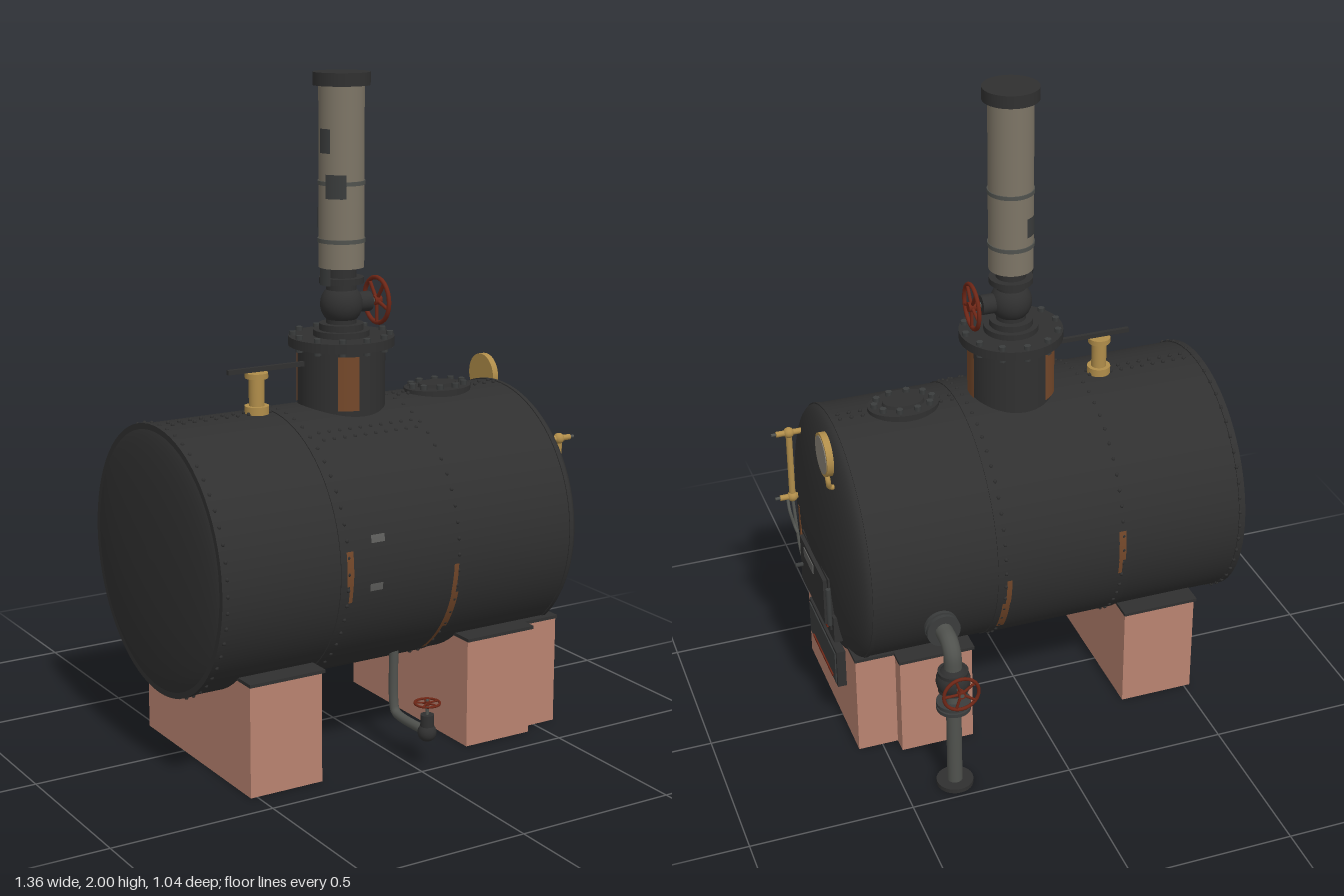
import * as THREE from 'three';
import { mergeGeometries } from 'three/addons/utils/BufferGeometryUtils.js';

const paint = (name, color, side = THREE.FrontSide) => {
  const m = new THREE.MeshStandardMaterial({ color, side });
  m.name = name;
  return m;
};

export function createModel() {
  const iron = paint('black iron', 0x303030);
  const brick = paint('brick', 0xb98370);
  const taupe = paint('stack metal', 0x7d7566);
  const brass = paint('brass', 0xb08d4a);
  const rust = paint('rust', 0x74482a, THREE.DoubleSide);
  const red = paint('valve red', 0x6e2616);
  const steel = paint('pipe steel', 0x50524e);
  const grey = paint('plate grey', 0x5c5c5a, THREE.DoubleSide);
  const dial = paint('dial', 0x8a8478);
  const dark = paint('dark fittings', 0x3a3c3c, THREE.DoubleSide);

  const model = new THREE.Group();
  const R = 0.395, CY = 0.635, CZ = 0.085, SX = -0.023;

  const add = (name, geo, mat, pos = [0, 0, 0], parent = model) => {
    const m = new THREE.Mesh(geo, mat);
    m.name = name;
    m.position.set(...pos);
    parent.add(m);
    return m;
  };
  const group = (name, pos) => {
    const g = new THREE.Group();
    g.name = name;
    g.position.set(...pos);
    model.add(g);
    return g;
  };
  // box given by its low and high corners
  const box = (name, mat, a, b, parent) => add(name, new THREE.BoxGeometry(b[0] - a[0], b[1] - a[1], b[2] - a[2]),
    mat, a.map((v, i) => (v + b[i]) / 2), parent);
  // cylinder centred on pos, along the given axis
  const cyl = (name, mat, r, h, pos, axis = 'y', parent = model, seg = 28) => {
    const g = new THREE.CylinderGeometry(r, r, h, seg);
    if (axis === 'x') g.rotateZ(-Math.PI / 2);
    if (axis === 'z') g.rotateX(Math.PI / 2);
    return add(name, g, mat, pos, parent);
  };
  const tube = (name, mat, r, pts, parent) => {
    const path = new THREE.CatmullRomCurve3(pts.map(p => new THREE.Vector3(...p)), false, 'centripetal');
    return add(name, new THREE.TubeGeometry(path, 32, r, 14), mat, [0, 0, 0], parent);
  };
  // spoked handwheel on a stem along +y
  const handwheel = (r, stem, pos) => {
    const g = group('handwheel', pos);
    add('wheelRim', new THREE.TorusGeometry(r, r * 0.1, 8, 28).rotateX(Math.PI / 2), red, [0, 0, 0], g);
    for (let i = 0; i < 5; i++) {
      const a = i * Math.PI * 0.4;
      const s = cyl('wheelSpoke', red, r * 0.08, r, [Math.cos(a) * r / 2, 0, -Math.sin(a) * r / 2], 'x', g, 8);
      s.rotation.y = a;
    }
    cyl('wheelHub', red, r * 0.22, r * 0.35, [0, 0, 0], 'y', g, 12);
    cyl('wheelStem', steel, r * 0.13, stem, [0, -stem / 2 + 0.01, 0], 'y', g, 10);
    return g;
  };

  // Boiler shell with dished ends, lying along x
  const shell = group('boiler', [0, CY, CZ]);
  const profile = [];
  for (let i = 0; i <= 12; i++) {
    const t = i / 12 * Math.PI / 2;
    profile.push(new THREE.Vector2(R * Math.sin(t), 0.075 * Math.cos(t)));
  }
  const head = (name, x, depth, dir) => {
    const pts = profile.map(p => new THREE.Vector2(p.x, p.y * depth / 0.075)).reverse();
    add(name, new THREE.LatheGeometry(pts, 72).rotateZ(-dir * Math.PI / 2), iron, [x, 0, 0], shell);
  };
  head('frontHead', 0.545, 0.075, 1);
  head('rearHead', -0.63, 0.045, -1);
  cyl('shell', iron, R, 1.175, [-0.0425, 0, 0], 'x', shell, 72);
  cyl('middleCourse', iron, R + 0.003, 0.425, [-0.0525, 0, 0], 'x', shell, 72);
  cyl('rearRim', iron, R + 0.003, 0.02, [-0.632, 0, 0], 'x', shell, 72);
  cyl('frontRim', iron, R + 0.003, 0.012, [0.541, 0, 0], 'x', shell, 72);

  // Rivets round the seams and along the laps
  const rivets = [];
  const rivet = (x, a) => rivets.push(new THREE.SphereGeometry(0.0065, 6, 4)
    .translate(x, Math.sin(a) * (R + 0.002), Math.cos(a) * (R + 0.002)));
  for (const x of [-0.625, -0.24, 0.135]) for (let i = 0; i < 52; i++) rivet(x, i / 52 * Math.PI * 2);
  for (const d of [-0.014, 0.014]) {
    for (let x = -0.59; x < -0.26; x += 0.035) rivet(x, Math.acos(d / R));
    for (let x = 0.17; x < 0.53; x += 0.035) rivet(x, Math.acos(d / R));
    for (let x = -0.205; x < 0.12; x += 0.035) rivet(x, Math.acos((0.187 + d) / R));
  }
  add('rivets', mergeGeometries(rivets), iron, [0, 0, 0], shell);

  // Curved plates on the shell between two heights, front (1) or back (-1)
  const shellPatch = (name, mat, x, w, y0, y1, side = 1) => {
    const a = Math.asin((y0 - CY) / R), b = Math.asin((y1 - CY) / R);
    const start = side > 0 ? a : Math.PI - b;
    add(name, new THREE.CylinderGeometry(R + 0.006, R + 0.006, w, 8, 1, true, start, b - a).rotateZ(Math.PI / 2),
      mat, [x, 0, 0], shell);
  };
  for (const side of [1, -1]) {
    shellPatch('rustStreak', rust, -0.236, 0.022, 0.6, 0.7, side);
    shellPatch('rustStreak', rust, -0.232, 0.012, 0.55, 0.6, side);
    shellPatch('rustStreak', rust, 0.125, 0.016, 0.52, 0.61, side);
    shellPatch('rustStreak', rust, 0.131, 0.024, 0.4, 0.52, side);
  }
  shellPatch('rustStreak', rust, 0.124, 0.012, 0.31, 0.4);
  shellPatch('namePlate', grey, -0.14, 0.045, 0.713, 0.735);
  shellPatch('namePlate', grey, -0.148, 0.042, 0.575, 0.597);

  // Brick piers with iron bearing plates
  box('rearPier', brick, [-0.52, 0, -0.235], [-0.285, 0.333, 0.41]);
  box('frontPier', brick, [0.22, 0, -0.235], [0.45, 0.333, 0.41]);
  box('frontPierStep', brick, [0.45, 0, -0.185], [0.575, 0.333, 0.37]);
  box('bearingPlate', iron, [-0.525, 0.333, -0.245], [-0.28, 0.343, 0.42]);
  box('bearingPlate', iron, [0.215, 0.333, -0.245], [0.455, 0.343, 0.42]);
  box('bearingPlate', iron, [0.455, 0.333, -0.19], [0.578, 0.343, 0.375]);

  // Fire door and ash door
  box('fireDoorSill', iron, [0.55, 0.35, -0.09], [0.612, 0.44, 0.26]);
  box('fireDoorFrame', iron, [0.55, 0.385, -0.07], [0.618, 0.57, 0.225]);
  box('fireDoor', iron, [0.6, 0.4, -0.055], [0.63, 0.56, 0.212]);
  box('fireGlow', red, [0.61, 0.38, -0.045], [0.622, 0.389, 0.215]);
  box('doorPlate', grey, [0.629, 0.515, 0.055], [0.633, 0.548, 0.16]);
  cyl('doorHinge', dark, 0.008, 0.13, [0.62, 0.475, -0.075], 'y', model, 10);
  cyl('doorHandle', dark, 0.007, 0.04, [0.635, 0.465, 0.19], 'x', model, 10);
  box('ashDoor', iron, [0.57, 0.165, -0.07], [0.603, 0.295, 0.245]);
  box('ashDoorPanel', dark, [0.6, 0.175, -0.06], [0.607, 0.285, 0.235]);
  box('ashGlow', red, [0.605, 0.184, -0.035], [0.611, 0.192, 0.19]);

  // Water gauge glass
  cyl('gaugeGlass', brass, 0.01, 0.24, [0.625, 0.765, 0.3], 'y', model, 12);
  for (const y of [0.65, 0.88]) {
    cyl('gaugeCock', brass, 0.009, 0.1, [0.615, y, 0.3], 'x', model, 12);
    add('gaugeCockBody', new THREE.SphereGeometry(0.017, 14, 10), brass, [0.625, y, 0.3]);
    cyl('cockTip', steel, 0.005, 0.03, [0.665, y, 0.3], 'x', model, 8);
  }
  tube('cockLever', steel, 0.005, [[0.645, 0.65, 0.28], [0.648, 0.63, 0.25], [0.638, 0.58, 0.235], [0.636, 0.57, 0.21]]);
  tube('gaugeDrain', steel, 0.005, [[0.625, 0.64, 0.3], [0.622, 0.56, 0.285], [0.618, 0.48, 0.27], [0.618, 0.455, 0.24]]);
  box('headRust', rust, [0.602, 0.5, 0.272], [0.611, 0.62, 0.29]);
  box('headRust', rust, [0.591, 0.52, 0.306], [0.6, 0.6, 0.316]);

  // Pressure gauge
  cyl('pressureGauge', brass, 0.066, 0.02, [0.61, 1.015, -0.08], 'x');
  cyl('pressureDial', dial, 0.058, 0.004, [0.62, 1.015, -0.08], 'x');
  tube('gaugeSiphon', brass, 0.008, [[0.607, 0.96, -0.08], [0.607, 0.93, -0.095], [0.6, 0.905, -0.085], [0.57, 0.9, -0.085]]);

  // Safety valve with lever
  cyl('safetyValveBase', brass, 0.036, 0.025, [-0.31, 1.04, CZ]);
  cyl('safetyValvePost', brass, 0.023, 0.12, [-0.31, 1.09, CZ]);
  cyl('safetyValveTop', brass, 0.034, 0.016, [-0.31, 1.142, CZ]);
  box('safetyLever', iron, [-0.405, 1.152, CZ - 0.006], [-0.15, 1.166, CZ + 0.006]);

  // Oval manhole
  add('manholeBase', new THREE.CylinderGeometry(0.11, 0.11, 0.05, 40).scale(1, 1, 0.73), iron, [0.32, 1.016, CZ]);
  add('manholeLid', new THREE.CylinderGeometry(0.062, 0.066, 0.012, 40).scale(1, 1, 0.65), iron, [0.32, 1.046, CZ]);
  for (let i = 0; i < 10; i++) {
    const a = i * Math.PI / 5;
    cyl('manholeBolt', dark, 0.011, 0.018, [0.32 + 0.09 * Math.cos(a), 1.046, CZ + 0.06 * Math.sin(a)], 'y', model, 6);
  }

  // Steam dome
  cyl('domeSkirt', iron, 0.13, 0.25, [SX, 1.09, CZ], 'y', model, 48);
  cyl('domeFlange', iron, 0.157, 0.028, [SX, 1.218, CZ], 'y', model, 48);
  cyl('domeLid', iron, 0.083, 0.02, [SX, 1.24, CZ], 'y', model, 40);
  for (let i = 0; i < 12; i++) {
    const a = i * Math.PI / 6;
    cyl('domeBolt', dark, 0.011, 0.05, [SX + 0.143 * Math.cos(a), 1.219, CZ + 0.143 * Math.sin(a)], 'y', model, 6);
  }
  // Curved plates on upright cylinders; angles run from +z towards +x
  const wrap = (name, mat, r, y0, y1, mid, arc) => add(name,
    new THREE.CylinderGeometry(r, r, y1 - y0, 10, 1, true, mid - arc / 2, arc), mat, [SX, (y0 + y1) / 2, CZ]);
  for (const a of [-0.38, Math.PI / 2, -2.36]) wrap('domeRust', rust, 0.133, 1.03, 1.19, a, 0.48);

  // Stop valve
  cyl('valveNeck', iron, 0.045, 0.21, [SX, 1.345, CZ]);
  cyl('valveFlange', iron, 0.066, 0.022, [SX, 1.258, CZ]);
  cyl('valveFlange', iron, 0.066, 0.018, [SX, 1.397, CZ]);
  add('valveBody', new THREE.SphereGeometry(0.063, 28, 18), iron, [SX, 1.325, CZ]);
  cyl('valveBonnet', iron, 0.03, 0.05, [SX + 0.07, 1.325, CZ], 'x');
  handwheel(0.068, 0.1, [0.1, 1.325, CZ]).rotation.z = -Math.PI / 2;

  // Chimney stack
  cyl('stack', taupe, 0.067, 0.53, [SX, 1.7, CZ], 'y', model, 40);
  cyl('stackCap', iron, 0.084, 0.038, [SX, 1.981, CZ], 'y', model, 40);
  for (const y of [1.515, 1.683]) cyl('stackBand', steel, 0.07, 0.012, [SX, y, CZ], 'y', model, 40);
  wrap('stackPatch', dark, 0.0715, 1.64, 1.71, -0.8, 0.9);
  wrap('stackPatch', dark, 0.069, 1.77, 1.84, -1.35, 0.6);
  wrap('stackPatch', dark, 0.069, 1.55, 1.61, -2.36, 0.7);
  wrap('stackPatch', dark, 0.067, 1.385, 1.435, -1.4, 0.7);

  // Feed pipe behind the boiler
  const PX = 0.345, PZ = -0.43;
  tube('feedElbow', steel, 0.027, [[PX, 0.505, -0.25], [PX, 0.505, -0.36], [PX, 0.5, -0.4], [PX, 0.475, -0.425], [PX, 0.43, PZ], [PX, 0.39, PZ]]);
  for (const z of [-0.325, -0.345]) cyl('feedFlange', dark, 0.052, 0.012, [PX, 0.505, z], 'z');
  cyl('feedPipe', steel, 0.023, 0.38, [PX, 0.19, PZ]);
  cyl('feedFoot', iron, 0.056, 0.014, [PX, 0.007, PZ]);
  for (const y of [0.288, 0.305]) cyl('feedFlange', dark, 0.052, 0.011, [PX, y, PZ]);
  cyl('feedValve', iron, 0.046, 0.07, [PX, 0.385, PZ]);
  add('feedValveBody', new THREE.SphereGeometry(0.052, 24, 16), iron, [PX, 0.385, PZ]);
  handwheel(0.054, 0.07, [PX, 0.385, -0.505]).rotation.x = -Math.PI / 2;

  // Blow-down pipe under the boiler
  tube('drainPipe', steel, 0.014, [[0.03, 0.36, 0.3], [0.03, 0.15, 0.3], [0.03, 0.118, 0.31], [0.03, 0.11, 0.34], [0.03, 0.11, 0.47]]);
  add('drainValve', new THREE.SphereGeometry(0.028, 20, 14), iron, [0.03, 0.11, 0.48]);
  cyl('drainBonnet', iron, 0.02, 0.05, [0.03, 0.14, 0.48]);
  handwheel(0.037, 0.07, [0.03, 0.2, 0.48]);

  return model;
}
